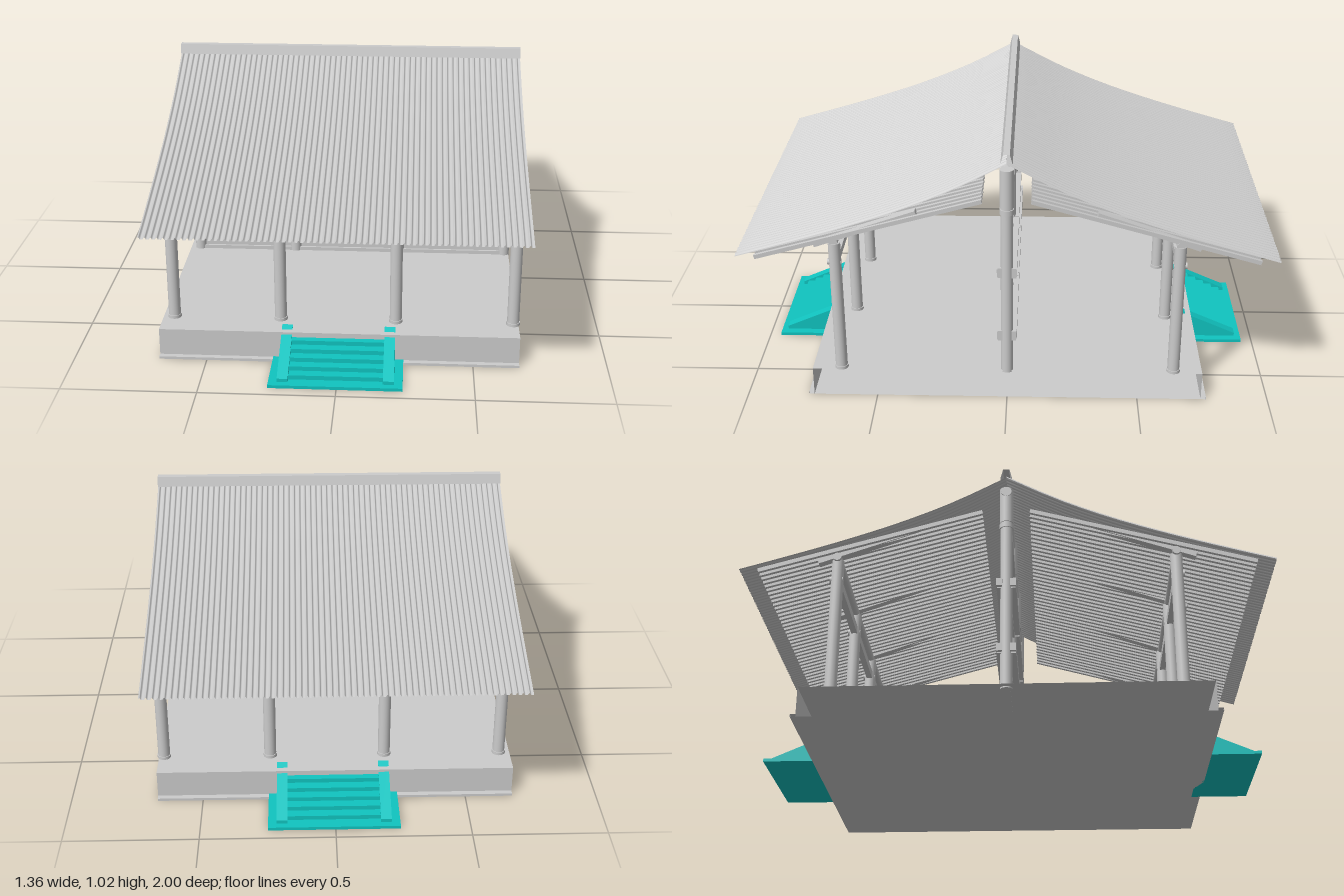
import * as THREE from 'three';

const grey = new THREE.MeshStandardMaterial({ color: 0xcccccc });
const sheet = new THREE.MeshStandardMaterial({ color: 0xcccccc, side: THREE.DoubleSide });
const teal = new THREE.MeshStandardMaterial({ color: 0x10c4c0 });

const COLS = [-0.638, -0.23, 0.208, 0.652];
const X0 = -0.68, X1 = 0.672, LEN = X1 - X0, XC = (X0 + X1) / 2;

function add(parent, name, geo, mat, x = 0, y = 0, z = 0) {
  const m = new THREE.Mesh(geo, mat);
  m.name = name;
  m.position.set(x, y, z);
  parent.add(m);
  return m;
}

const box = (parent, name, w, h, d, x, y, z, mat = grey) =>
  add(parent, name, new THREE.BoxGeometry(w, h, d), mat, x, y, z);

// Round beam along x
function roundBeam(parent, name, r, len, x, y, z) {
  const g = new THREE.CylinderGeometry(r, r, len, 12);
  g.rotateZ(Math.PI / 2);
  return add(parent, name, g, grey, x, y, z);
}

// Open-ended folded sheet: a z/y outline carried along x
function foldedSheet(pts, x0, x1) {
  const pos = [];
  for (let i = 0; i < pts.length - 1; i++) {
    const [za, ya] = pts[i], [zb, yb] = pts[i + 1];
    pos.push(x0, ya, za, x1, ya, za, x1, yb, zb, x0, ya, za, x1, yb, zb, x0, yb, zb);
  }
  const g = new THREE.BufferGeometry();
  g.setAttribute('position', new THREE.Float32BufferAttribute(pos, 3));
  g.computeVertexNormals();
  return g;
}

// Sagging, ribbed roof slope towards +z
function roofSlope() {
  const curve = new THREE.SplineCurve([
    [0, 0.985], [0.2, 0.88], [0.4, 0.795], [0.6, 0.725], [0.8, 0.663], [1, 0.605],
  ].map(([z, y]) => new THREE.Vector2(z, y)));
  const ribs = 64, per = 8, nx = ribs * per, nz = 14;
  const pos = [], idx = [];
  for (let j = 0; j <= nz; j++) {
    const p = curve.getPoint(j / nz);
    for (let i = 0; i <= nx; i++) {
      const lift = 0.008 * Math.max(0, Math.sin((i / per) * Math.PI * 2));
      pos.push(-0.682 + (1.364 * i) / nx, p.y + lift - 0.004, p.x);
    }
  }
  for (let j = 0; j < nz; j++)
    for (let i = 0; i < nx; i++) {
      const a = j * (nx + 1) + i, b = a + nx + 1;
      idx.push(a, b, a + 1, b, b + 1, a + 1);
    }
  const g = new THREE.BufferGeometry();
  g.setAttribute('position', new THREE.Float32BufferAttribute(pos, 3));
  g.setIndex(idx);
  g.computeVertexNormals();
  return g;
}

// Straight bar between two z/y points
function slopedBar(parent, name, x, w, h, [za, ya], [zb, yb]) {
  const m = box(parent, name, w, h, Math.hypot(zb - za, yb - ya), x, (ya + yb) / 2, (za + zb) / 2);
  m.rotation.x = Math.atan2(ya - yb, zb - za);
}

function stairs() {
  const g = new THREE.Group();
  g.name = 'stairs';
  box(g, 'stairFoot', 0.49, 0.012, 0.225, -0.005, 0.006, 0.8425, teal);
  // Sloping side cheeks
  const side = new THREE.Shape([[0.7, 0.012], [0.93, 0.012], [0.93, 0.025], [0.7, 0.125]]
    .map(([z, y]) => new THREE.Vector2(-z, y)));
  for (const x of [-0.218, 0.168]) {
    const geo = new THREE.ExtrudeGeometry(side, { depth: 0.04, bevelEnabled: false });
    geo.rotateY(Math.PI / 2);
    add(g, 'stairCheek', geo, teal, x);
  }
  // Steps
  const n = 6, run = 0.21 / n, rise = 0.1 / n;
  for (let i = 0; i < n; i++) {
    const h = rise * (n - i);
    box(g, 'step', 0.346, h, run, -0.005, 0.012 + h / 2, 0.7 + run * (i + 0.5), teal);
  }
  return g;
}

// Everything that repeats on the front and the back
function halfSide() {
  const g = new THREE.Group();
  add(g, 'roofSlope', roofSlope(), sheet);
  for (let i = 0; i < 45; i++)
    slopedBar(g, 'rafter', -0.672 + i * 0.03055, 0.013, 0.016, [0.09, 0.832], [0.93, 0.597]);
  for (const x of COLS) {
    add(g, 'outerColumn', new THREE.CylinderGeometry(0.023, 0.023, 0.535, 20), grey, x, 0.3825, 0.635);
    add(g, 'columnBase', new THREE.CylinderGeometry(0.026, 0.026, 0.012, 20), grey, x, 0.121, 0.635);
    slopedBar(g, 'bracketRafter', x, 0.03, 0.02, [0.33, 0.777], [0.71, 0.645]);
    const peg = new THREE.CylinderGeometry(0.012, 0.012, 0.05, 10);
    peg.rotateX(Math.PI / 2);
    add(g, 'peg', peg, grey, x, 0.57, 0.638);
  }
  box(g, 'tieBeam', 1.31, 0.03, 0.024, 0.007, 0.572, 0.635);
  roundBeam(g, 'eavePurlin', 0.016, 1.34, 0, 0.655, 0.635);
  return g;
}

export function createModel() {
  const model = new THREE.Group();

  // Platform, open at both ends
  add(model, 'platform', foldedSheet([[0.745, 0], [0.745, 0.115], [-0.745, 0.115], [-0.745, 0]], X0, X1), sheet);
  add(model, 'platformFoot', foldedSheet(
    [[0.745, 0.01], [0.765, 0.01], [0.765, 0], [-0.765, 0], [-0.765, 0.01], [-0.745, 0.01]], X0, X1), sheet);

  // Front and back halves
  for (const turn of [0, Math.PI]) {
    const half = halfSide();
    half.name = turn ? 'backHalf' : 'frontHalf';
    half.rotation.y = turn;
    if (turn) half.children.forEach((m) => {
      if (/olumn|peg|bracket|tie/.test(m.name)) m.position.x -= 0.014;
    });
    model.add(half);
    const s = stairs();
    s.rotation.y = turn;
    model.add(s);
  }

  // Middle wall with its columns and beams
  const wall = new THREE.Group();
  wall.name = 'middleWall';
  model.add(wall);
  const wallLen = COLS[3] - COLS[0], mid = (COLS[0] + COLS[3]) / 2;
  box(wall, 'wallPanel', wallLen, 0.675, 0.012, mid, 0.4525, 0);
  box(wall, 'sill', wallLen, 0.016, 0.03, mid, 0.122, 0);
  for (const x of COLS) {
    add(wall, 'middleColumn', new THREE.CylinderGeometry(0.023, 0.023, 0.84, 20), grey, x, 0.53, 0);
    add(wall, 'columnCap', new THREE.CylinderGeometry(0.026, 0.026, 0.15, 20), grey, x, 0.875, 0);
    add(wall, 'columnRing', new THREE.CylinderGeometry(0.027, 0.027, 0.02, 20), grey, x, 0.785, 0);
  }
  for (const y of [0.269, 0.536]) {
    box(wall, 'rail', wallLen, 0.056, 0.03, mid, y, 0);
    for (const z of [-0.026, 0.026])
      box(wall, 'clampBeam', LEN - 0.02, 0.03, 0.022, XC + 0.004, y, z);
    for (const x of COLS) box(wall, 'clamp', 0.03, 0.04, 0.07, x, y, 0);
  }
  box(wall, 'topRail', wallLen, 0.03, 0.04, mid, 0.785, 0);
  roundBeam(wall, 'ridgeBeam', 0.02, 1.33, 0, 0.93, 0);

  // Ridge cap, open at both ends
  add(model, 'ridgeCap', foldedSheet([[0.022, 0.98], [0.012, 1.018], [-0.012, 1.018], [-0.022, 0.98]], -0.682, 0.682), sheet);
  return model;
}
